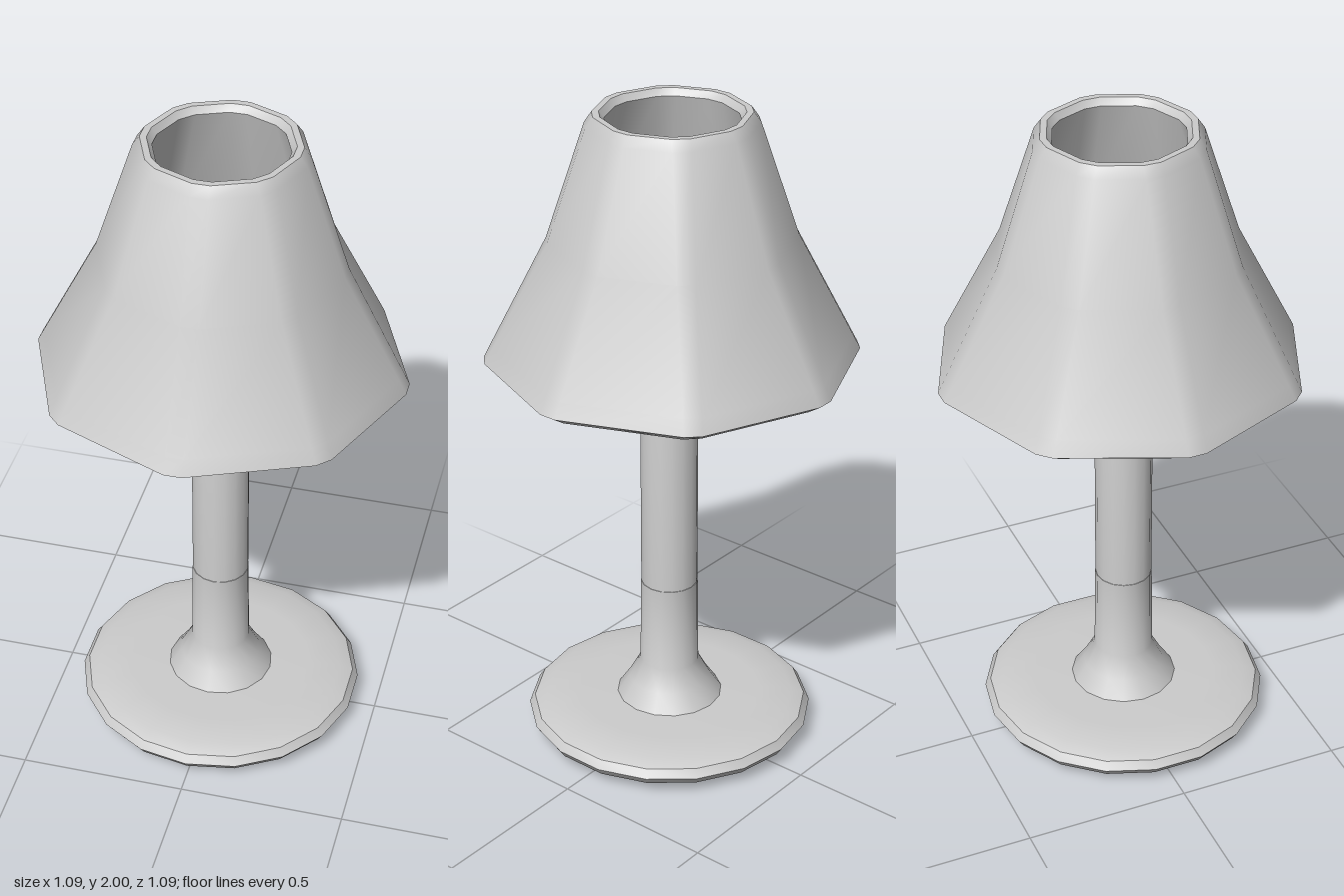
import * as THREE from 'three';
import { toCreasedNormals } from 'three/addons/utils/BufferGeometryUtils.js';

const material = new THREE.MeshStandardMaterial({ color: 0xcccccc });

function add(parent, name, geometry) {
  const mesh = new THREE.Mesh(geometry, material);
  mesh.name = name;
  parent.add(mesh);
  return mesh;
}

function lathe(points, sides, crease = 0.6) {
  const geometry = new THREE.LatheGeometry(points.map(([r, y]) => new THREE.Vector2(r, y)), sides);
  return toCreasedNormals(geometry, crease);
}

// Octagonal loops with clipped corners, joined along a closed profile of [radius, height].
function octagonShell(profile, clip) {
  const positions = [], index = [], n = 16;
  for (const [r, y] of profile) {
    for (let i = 0; i < n; i++) {
      const corner = Math.floor(i / 2) * Math.PI / 4;
      const side = i % 2 ? 1 : -1;
      const u = r - clip * Math.sin(Math.PI / 8);
      const v = side * clip * Math.cos(Math.PI / 8);
      positions.push(
        u * Math.sin(corner) + v * Math.cos(corner), y,
        u * Math.cos(corner) - v * Math.sin(corner));
    }
  }
  for (let j = 0; j < profile.length; j++) {
    const k = (j + 1) % profile.length;
    for (let i = 0; i < n; i++) {
      const m = (i + 1) % n;
      const a = j * n + i, b = j * n + m, c = k * n + m, d = k * n + i;
      index.push(a, b, c, a, c, d);
    }
  }
  const geometry = new THREE.BufferGeometry();
  geometry.setAttribute('position', new THREE.Float32BufferAttribute(positions, 3));
  geometry.setIndex(index);
  return toCreasedNormals(geometry, 0.7);
}

export function createModel() {
  const lamp = new THREE.Group();
  lamp.name = 'tableLamp';

  // Thick faceted shade, open at both ends
  add(lamp, 'shade', octagonShell([
    [0.44, 1.24], [0.52, 1.24], [0.558, 1.265], [0.535, 1.31], [0.37, 1.63],
    [0.256, 1.97], [0.235, 2.0], [0.215, 2.0], [0.2, 1.98], [0.3, 1.63], [0.43, 1.27],
  ], 0.028));

  // Stand, set very slightly forward of the shade's axis
  const stand = new THREE.Group();
  stand.name = 'stand';
  stand.position.z = 0.013;
  lamp.add(stand);

  add(stand, 'base', lathe([
    [0, 0], [0.25, 0.003], [0.37, 0.015], [0.42, 0.035], [0.437, 0.06],
    [0.42, 0.085], [0.38, 0.1], [0.28, 0.105], [0, 0.105],
  ], 18));

  // Flared foot and the collar around the lower post
  add(stand, 'foot', lathe([
    [0.165, 0.1], [0.125, 0.16], [0.09, 0.225], [0.087, 0.5], [0.08, 0.505],
  ], 16, 0.9));

  // Post with a domed top
  add(stand, 'post', lathe([
    [0.086, 0.1], [0.086, 1.34], [0.079, 1.37], [0.055, 1.395], [0.028, 1.405], [0, 1.408],
  ], 16, 0.9));

  // Four arms rising gently from the post to the shade
  const arms = new THREE.Group();
  arms.name = 'shadeArms';
  lamp.add(arms);
  for (let i = 0; i < 4; i++) {
    const geometry = new THREE.BoxGeometry(0.05, 0.075, 0.42);
    geometry.rotateX(-0.14);
    geometry.translate(0, 1.292, 0.25);
    geometry.rotateY(i * Math.PI / 2);
    add(arms, 'shadeArm', geometry);
  }
  return lamp;
}
